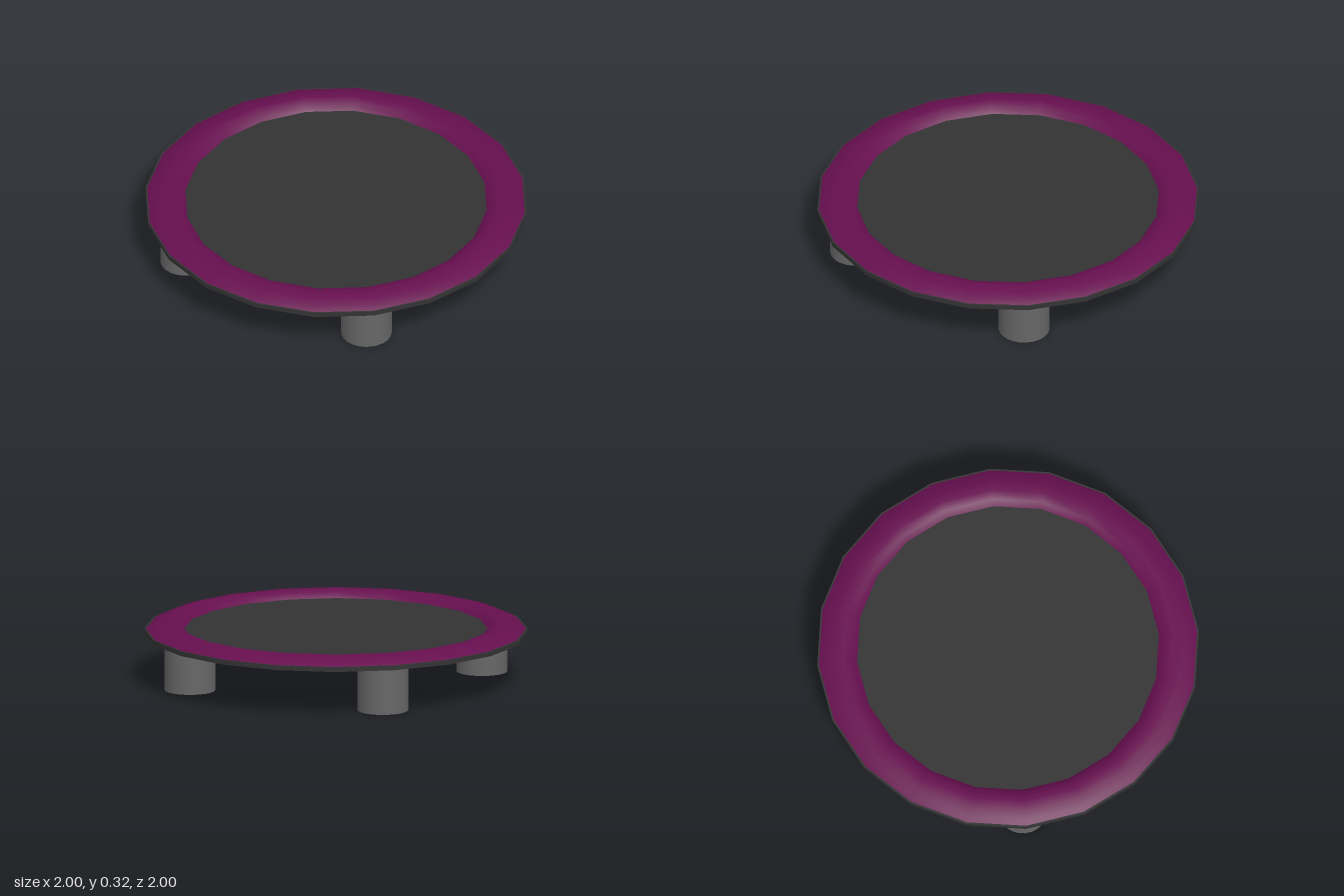
import * as THREE from 'three';

const SIDES = 20;

function addMesh(group, name, geometry, color) {
  const mesh = new THREE.Mesh(geometry, new THREE.MeshStandardMaterial({ color }));
  mesh.name = name;
  group.add(mesh);
  return mesh;
}

export function createModel() {
  const model = new THREE.Group();
  model.name = 'trampoline';

  // Thin disc that carries the legs and forms the jumping bed
  addMesh(model, 'bed', new THREE.CylinderGeometry(1, 1, 0.025, SIDES), 0x333333)
    .position.y = 0.2625;

  // Rounded safety pad around the rim, from the outer edge over the top to the inner edge
  const padProfile = [
    [0.993, 0.274], [0.965, 0.291], [0.92, 0.307], [0.867, 0.316], [0.82, 0.304], [0.79, 0.274],
  ].map(([r, y]) => new THREE.Vector2(r, y));
  addMesh(model, 'edgePad', new THREE.LatheGeometry(padProfile, SIDES), 0x660f4f);

  // Four round legs, one on each axis
  const legGeometry = new THREE.CylinderGeometry(0.133, 0.133, 0.25, 24);
  ['frontLeg', 'leftLeg', 'backLeg', 'rightLeg'].forEach((name, i) => {
    const angle = (i * Math.PI) / 2;
    addMesh(model, name, legGeometry, 0x666666)
      .position.set(0.8 * Math.sin(angle), 0.125, 0.8 * Math.cos(angle));
  });

  return model;
}
